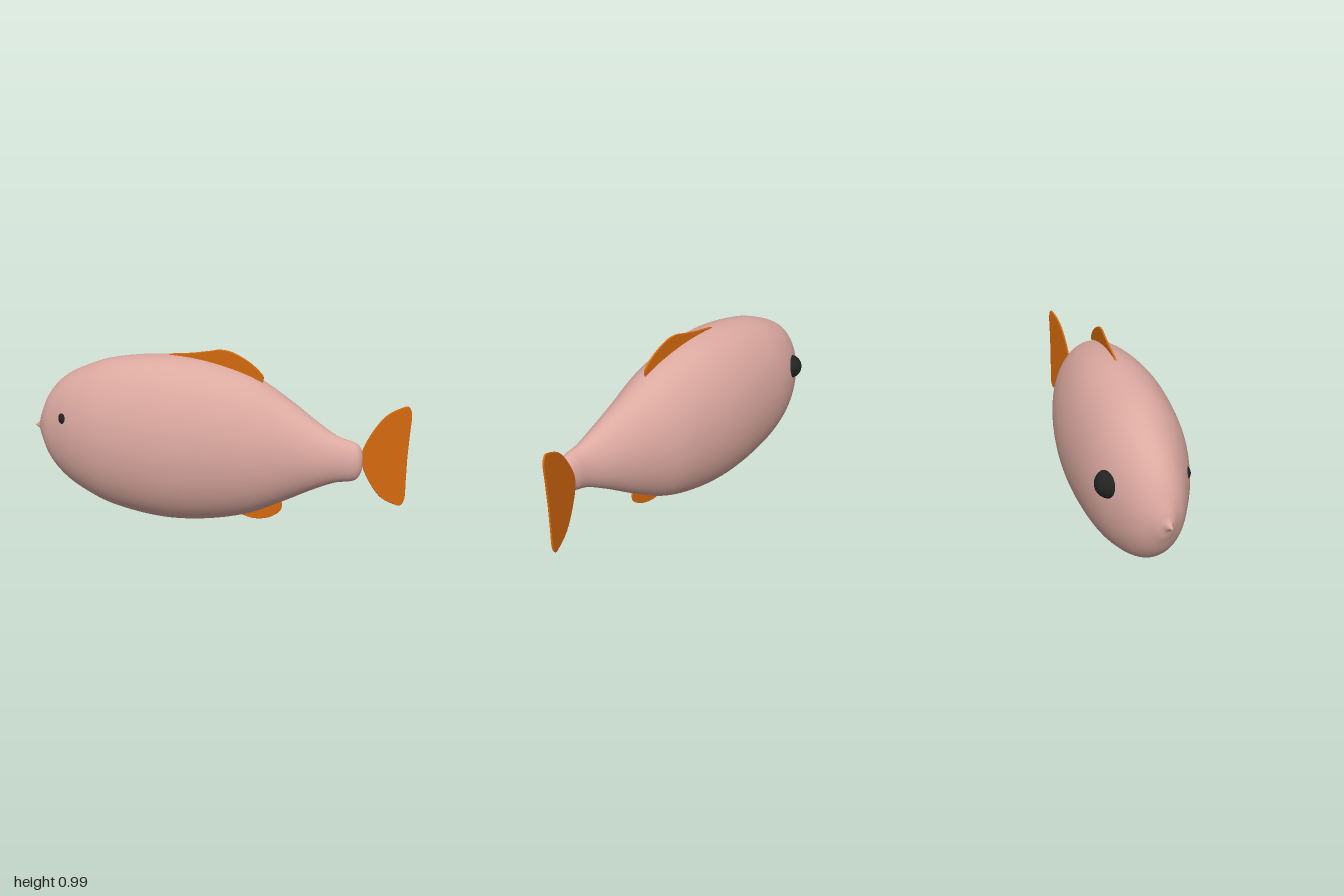
import * as THREE from 'three';
import { ParametricGeometry } from 'three/addons/geometries/ParametricGeometry.js';

const MID = 0.475; // height of the body axis

// Body sections from nose to tail: position, half height, half width, sideways offset
const SECTIONS = [
  [-1.03, 0.002, 0.002, 0.105], [-1.0, 0.03, 0.022, 0.095], [-0.98, 0.09, 0.055, 0.085],
  [-0.92, 0.21, 0.122, 0.078], [-0.83, 0.305, 0.178, 0.07], [-0.7, 0.375, 0.235, 0.067],
  [-0.52, 0.435, 0.278, 0.067], [-0.25, 0.47, 0.299, 0.06], [0, 0.454, 0.284, 0.049],
  [0.25, 0.39, 0.24, 0.045], [0.45, 0.284, 0.172, 0.058], [0.6, 0.192, 0.12, 0.08],
  [0.72, 0.128, 0.076, 0.097], [0.8, 0.108, 0.061, 0.1], [0.835, 0.09, 0.05, 0.1],
  [0.855, 0.05, 0.028, 0.1], [0.86, 0.002, 0.002, 0.1],
];

function createBodyGeometry() {
  const spline = (pick) => new THREE.CatmullRomCurve3(
    SECTIONS.map(pick), false, 'catmullrom', 0.5);
  const radii = spline(([x, h, w]) => new THREE.Vector3(x, h, w));
  const spine = spline(([x, , , z]) => new THREE.Vector3(x, MID, z));
  const r = new THREE.Vector3();
  return new ParametricGeometry((u, v, target) => {
    radii.getPoint(u, r);
    spine.getPoint(u, target);
    const a = v * Math.PI * 2;
    target.y += r.y * Math.sin(a);
    target.z += r.z * Math.cos(a);
  }, 96, 64);
}

// Thin fin from a smooth outer edge, closed by a straight line
function createFin(name, points, material) {
  const shape = new THREE.Shape();
  shape.moveTo(...points[0]);
  shape.splineThru(points.slice(1).map(([x, y]) => new THREE.Vector2(x, y)));
  shape.closePath();
  const geometry = new THREE.ExtrudeGeometry(shape, {
    depth: 0.004, curveSegments: 40, bevelEnabled: true,
    bevelThickness: 0.003, bevelSize: 0.004, bevelOffset: -0.004, bevelSegments: 2,
  });
  geometry.translate(0, 0, -0.002);
  const fin = new THREE.Mesh(geometry, material);
  fin.name = name;
  return fin;
}

export function createModel() {
  const skin = new THREE.MeshStandardMaterial({ color: 0xdba9a0 });
  skin.name = 'pink skin';
  const orange = new THREE.MeshStandardMaterial({ color: 0xd66a0e });
  orange.name = 'orange fin';
  const black = new THREE.MeshStandardMaterial({ color: 0x222222 });
  black.name = 'black eye';

  const model = new THREE.Group();
  model.name = 'fish';

  // Body and its fins are turned together
  const trunk = new THREE.Group();
  trunk.name = 'trunk';
  trunk.rotation.y = -0.429;
  model.add(trunk);

  const body = new THREE.Mesh(createBodyGeometry(), skin);
  body.name = 'body';
  trunk.add(body);

  const dorsal = createFin('dorsalFin', [
    [-0.24, 0.935], [-0.18, 0.955], [-0.08, 0.966], [0.02, 0.984], [0.08, 0.995], [0.15, 0.985],
    [0.24, 0.94], [0.305, 0.885], [0.316, 0.855], [0.3, 0.83], [0.24, 0.835], [0, 0.9],
  ], orange);
  dorsal.position.z = 0.053;
  trunk.add(dorsal);

  const ventral = createFin('ventralFin', [
    [0.17, 0.085], [0.2, 0.07], [0.28, 0.054], [0.36, 0.07], [0.42, 0.11], [0.437, 0.15],
    [0.43, 0.18], [0.4, 0.19], [0.3, 0.145],
  ], orange);
  ventral.position.z = 0.06;
  trunk.add(ventral);

  // Tail floats just behind the body
  const tail = createFin('tailFin', [
    [0.24, 0], [0.243, 0.14], [0.245, 0.225], [0.232, 0.268], [0.203, 0.274], [0.11, 0.222],
    [0.032, 0.105], [0, 0], [0.032, -0.105], [0.11, -0.222], [0.203, -0.274],
    [0.232, -0.268], [0.245, -0.225], [0.243, -0.14], [0.24, 0],
  ], orange);
  tail.position.set(0.755, MID, 0.373);
  tail.rotation.y = -0.1;
  model.add(tail);

  // Bulging right eye, and the left eye that barely breaks the surface
  const rightEye = new THREE.Mesh(new THREE.SphereGeometry(0.07, 32, 24), black);
  rightEye.name = 'rightEye';
  rightEye.position.set(-0.63, 0.573, -0.417);
  model.add(rightEye);

  const leftEye = new THREE.Mesh(new THREE.SphereGeometry(0.042, 32, 24), black);
  leftEye.name = 'leftEye';
  leftEye.position.set(-0.756, 0.584, 0.236);
  trunk.add(leftEye);

  return model;
}
